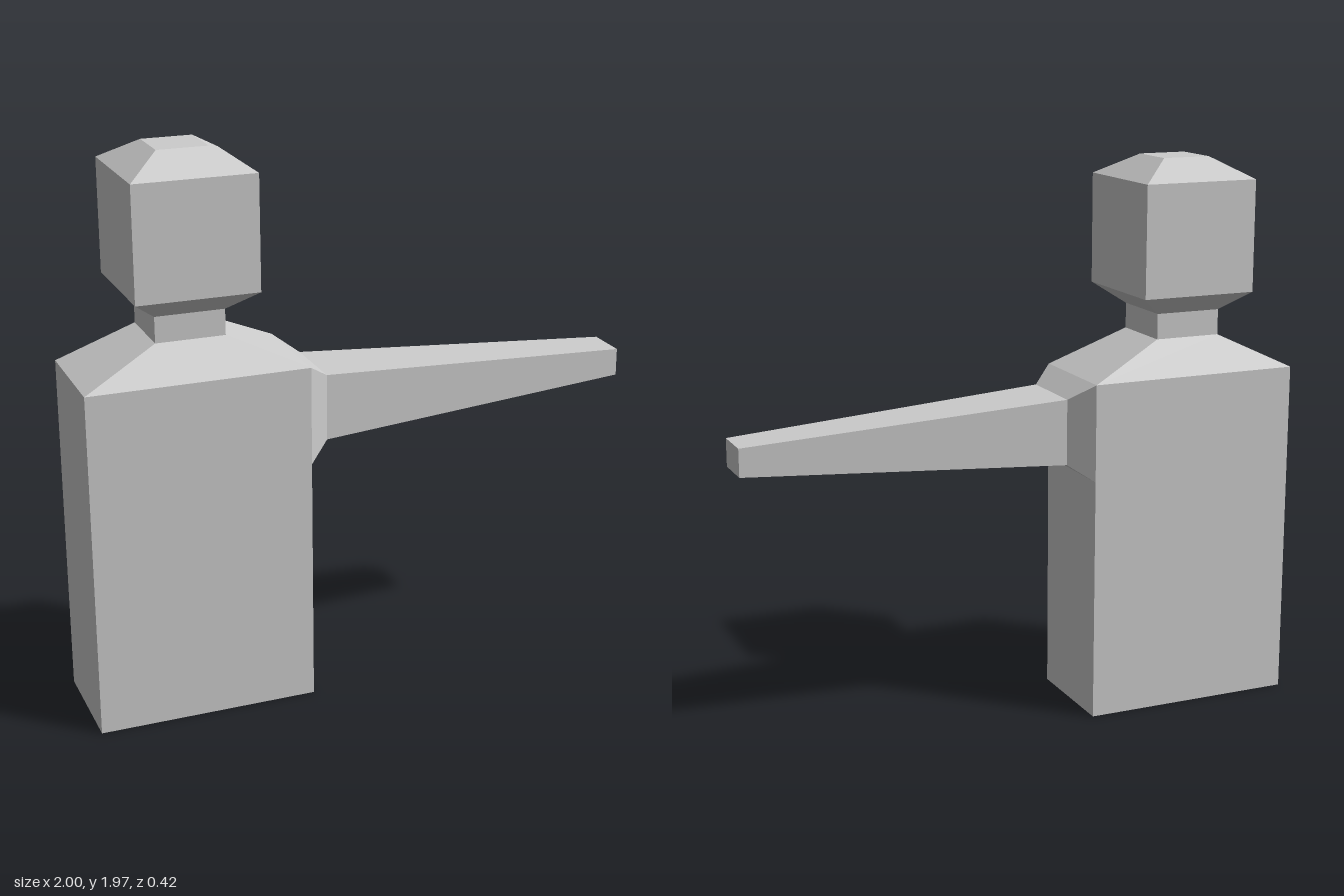
import * as THREE from 'three';

const clay = new THREE.MeshStandardMaterial({ color: 0xcccccc });
clay.name = 'light grey';

// Faceted loft through rectangular sections [y, xMin, xMax, zHalf], bottom to top.
function loft(sections, capBottom, capTop) {
  const rings = sections.map(([y, x0, x1, z]) => [[x0, y, z], [x1, y, z], [x1, y, -z], [x0, y, -z]]);
  const points = [];
  const quad = (a, b, c, d) => points.push(...a, ...b, ...c, ...a, ...c, ...d);
  for (let r = 0; r < rings.length - 1; r++) {
    const low = rings[r], high = rings[r + 1];
    for (let i = 0; i < 4; i++) {
      const j = (i + 1) % 4;
      quad(low[i], low[j], high[j], high[i]);
    }
  }
  if (capBottom) quad(...[...rings[0]].reverse());
  if (capTop) quad(...rings[rings.length - 1]);
  const geometry = new THREE.BufferGeometry();
  geometry.setAttribute('position', new THREE.Float32BufferAttribute(points, 3));
  geometry.computeVertexNormals();
  return geometry;
}

export function createModel() {
  const model = new THREE.Group();
  model.name = 'halfFigure';
  const add = (name, geometry) => {
    const mesh = new THREE.Mesh(geometry, clay);
    mesh.name = name;
    model.add(mesh);
  };

  // Block torso with sloping shoulders
  add('torso', loft([
    [0, -1, -0.23, 0.197],
    [1.215, -1, -0.23, 0.197],
    [1.34, -0.74, -0.5, 0.122],
  ], true, false));

  add('neck', loft([
    [1.34, -0.74, -0.5, 0.122],
    [1.43, -0.74, -0.5, 0.122],
  ], false, false));

  // Cube head, bevelled at jaw and crown
  add('head', loft([
    [1.43, -0.74, -0.5, 0.122],
    [1.5, -0.825, -0.405, 0.211],
    [1.892, -0.825, -0.405, 0.211],
    [1.965, -0.705, -0.53, 0.09],
  ], false, true));

  // Tapered arm: lofted upright, then laid along +x (section x becomes -y)
  add('leftArm', loft([
    [-0.23, -1.215, -0.87, 0.197],
    [-0.15, -1.158, -0.925, 0.132],
    [1, -1.09, -0.992, 0.077],
  ], false, true).rotateZ(-Math.PI / 2));

  return model;
}
